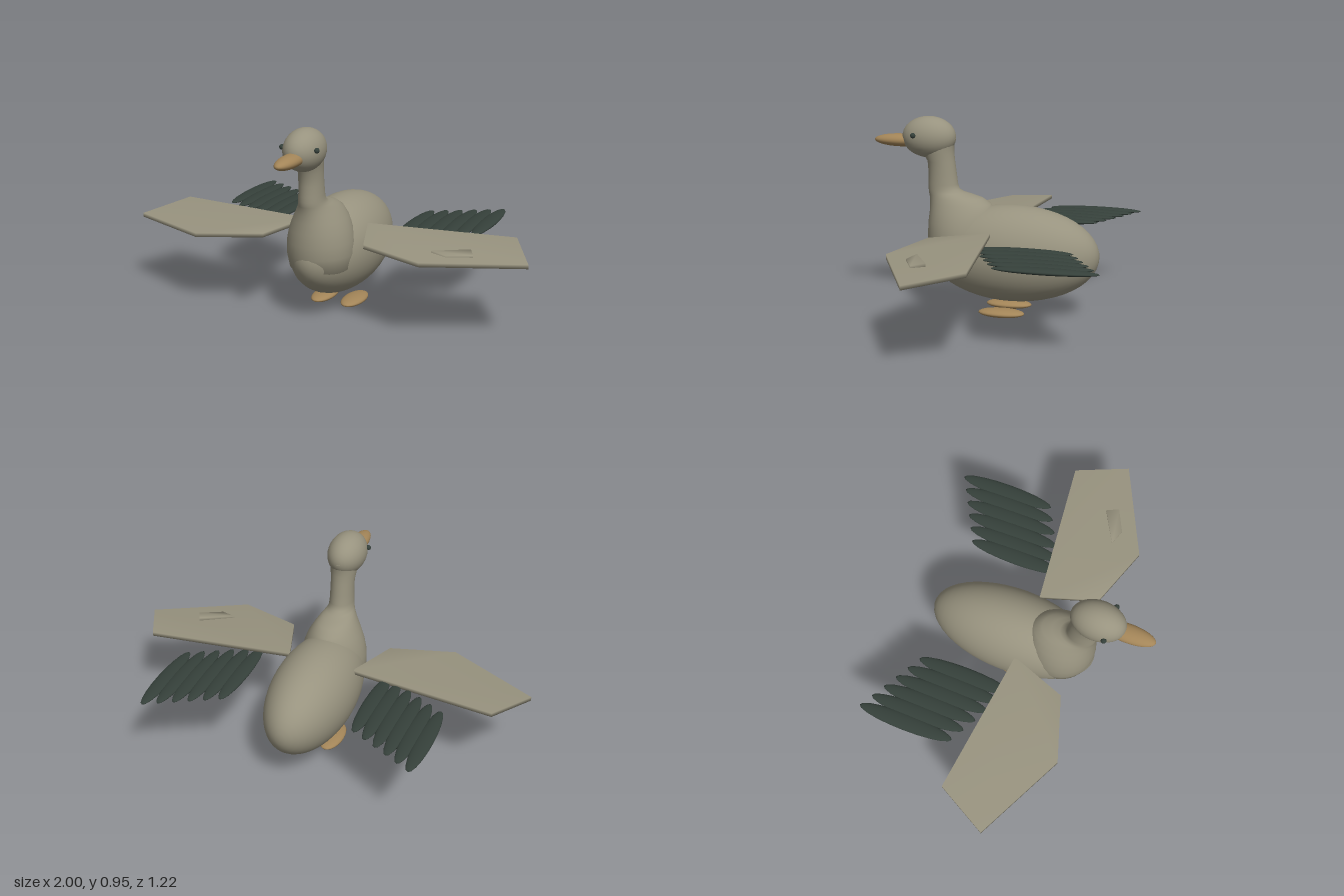
import * as THREE from 'three';
import { mergeVertices } from 'three/addons/utils/BufferGeometryUtils.js';

const mat = (name, color) => Object.assign(new THREE.MeshStandardMaterial({ color }), { name });

export function createModel() {
  const plumage = mat('plumage', 0x98937f);
  const horn = mat('horn', 0xa38558);
  const dark = mat('darkFeather', 0x35403a);
  const model = new THREE.Group();
  model.name = 'bird';

  const add = (name, geometry, material) => {
    const mesh = new THREE.Mesh(geometry, material);
    mesh.name = name;
    model.add(mesh);
    return mesh;
  };
  // ellipsoid whose poles lie along z
  const ellipsoid = (name, material, [x, y, z], [rx, ry, rz], segments = 32) => {
    const g = new THREE.SphereGeometry(1, segments, segments / 2).rotateX(Math.PI / 2);
    return add(name, g.scale(rx, ry, rz).translate(x, y, z), material);
  };
  // flat plate from a fan of corners given anticlockwise seen from above
  const plate = (name, corners, thickness) => {
    const n = corners.length, index = [];
    const points = [...corners, ...corners.map(([x, y, z]) => [x, y - thickness, z])];
    for (let i = 1; i < n - 1; i++) index.push(0, i, i + 1, n, n + i + 1, n + i);
    for (let i = 0; i < n; i++) {
      const j = (i + 1) % n;
      index.push(i, n + i, n + j, i, n + j, j);
    }
    const g = new THREE.BufferGeometry();
    g.setAttribute('position', new THREE.Float32BufferAttribute(points.flat(), 3));
    g.setIndex(index);
    g.computeVertexNormals();
    return add(name, g, plumage);
  };

  // body and head
  ellipsoid('body', plumage, [0, 0.305, -0.08], [0.2, 0.235, 0.42], 48);
  ellipsoid('head', plumage, [0, 0.855, 0.335], [0.092, 0.1, 0.132]);
  ellipsoid('beak', horn, [0, 0.834, 0.48], [0.046, 0.031, 0.13]);

  // breast and neck, lofted: height, front z, back z, half width
  const sections = [
    [0.88, 0.35, 0.225, 0.05], [0.85, 0.38, 0.203, 0.065], [0.82, 0.385, 0.212, 0.067],
    [0.78, 0.365, 0.212, 0.062], [0.74, 0.343, 0.208, 0.057], [0.68, 0.338, 0.2, 0.057],
    [0.63, 0.339, 0.194, 0.059], [0.605, 0.339, 0.185, 0.061], [0.59, 0.338, 0.16, 0.066],
    [0.58, 0.336, 0.12, 0.073], [0.565, 0.333, 0.07, 0.085], [0.54, 0.331, 0.03, 0.102],
    [0.5, 0.332, 0.01, 0.125], [0.45, 0.338, 0, 0.145], [0.39, 0.341, 0, 0.158],
    [0.33, 0.338, 0, 0.16], [0.26, 0.322, 0, 0.15], [0.2, 0.25, 0, 0.1],
  ];
  const neck = new THREE.CylinderGeometry(1, 1, 1, 36, sections.length - 1, true);
  const p = neck.attributes.position;
  for (let i = 0; i < p.count; i++) {
    const [y, front, back, rx] = sections[Math.floor(i / 37)];
    p.setXYZ(i, p.getX(i) * rx, y, (front + back) / 2 + p.getZ(i) * (front - back) / 2);
  }
  neck.deleteAttribute('uv');
  neck.deleteAttribute('normal');
  const loft = mergeVertices(neck, 1e-5);
  loft.computeVertexNormals();
  add('neckAndBreast', loft, plumage);

  for (const side of [1, -1]) {
    const label = side > 0 ? 'left' : 'right';
    ellipsoid(label + 'Eye', dark, [side * 0.086, 0.87, 0.39], [0.013, 0.013, 0.013], 16);
    ellipsoid(label + 'Foot', horn, [side * 0.08, 0.025, -0.042], [0.055, 0.021, 0.113], 24);

    // wing, the right one sitting slightly lower
    const drop = side > 0 ? 0 : 0.015;
    const outline = [
      [0.163, 0.435, -0.008], [0.258, 0.42, 0.265], [0.565, 0.41, 0.367],
      [1, 0.397, 0.155], [0.873, 0.434, -0.09],
    ].map(([x, y, z]) => [side * x, y - drop, z]);
    if (side < 0) outline.push(...outline.splice(1).reverse());
    plate(label + 'Wing', outline, 0.02);

    // staggered row of flight feathers
    for (let i = 0; i < 6; i++) {
      ellipsoid(label + 'Feather' + (i + 1), dark,
        [side * (0.333 + i * 0.063), 0.4, -0.2 - i * 0.0345], [0.041, 0.014, 0.237], 20);
    }
  }

  // small patch passing through the left wing
  plate('wingPatch', [
    [0.57, 0.422, 0.22], [0.648, 0.416, 0.245], [0.757, 0.416, 0.19], [0.727, 0.424, 0.132],
  ], 0.03);

  return model;
}
